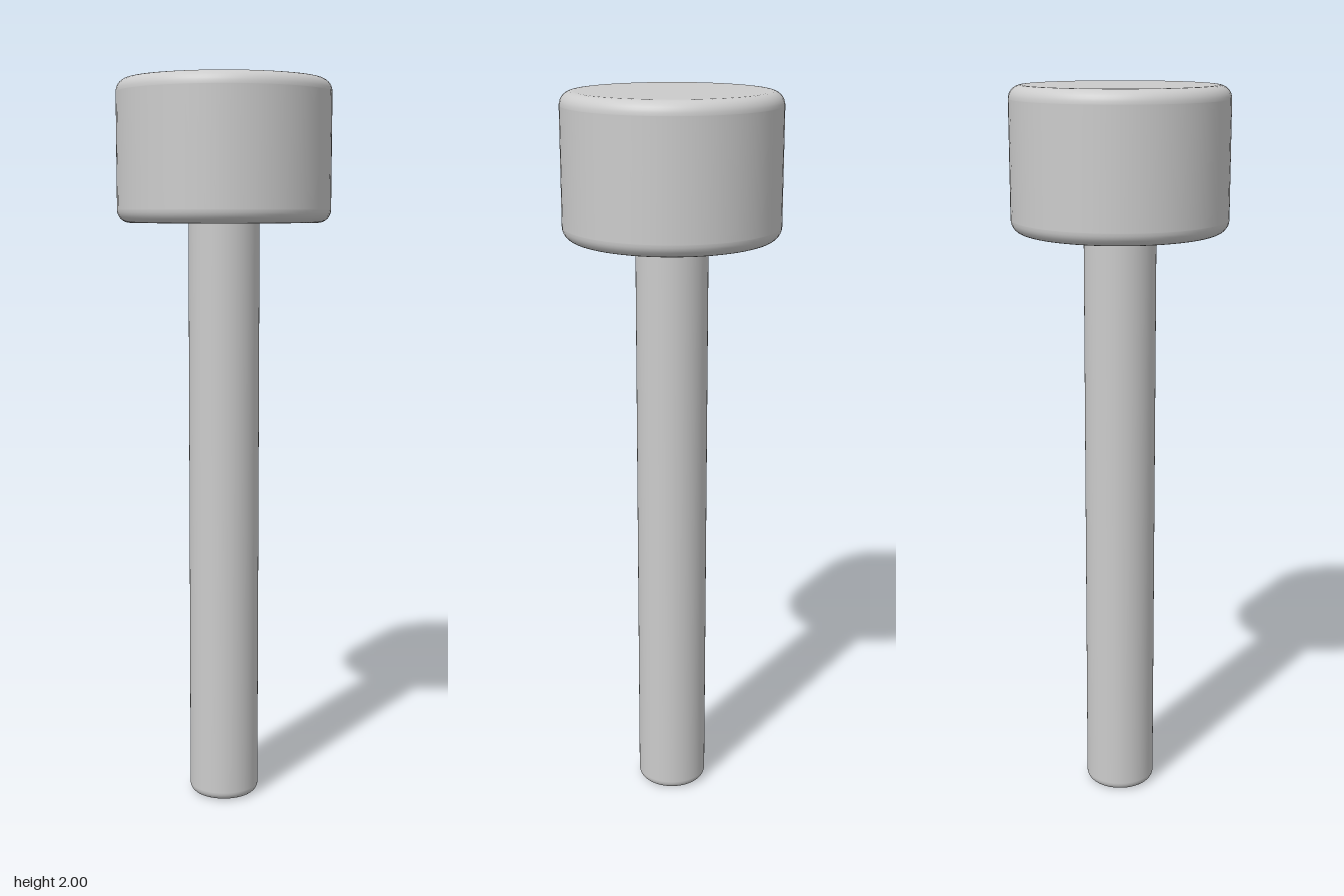
import * as THREE from 'three';

const material = new THREE.MeshStandardMaterial({ color: 0xcccccc });

// Solid round bar from y0 to y1; each end is a flat cap with a rounded rim.
function roundedCylinder(name, radius, y0, y1, bottomFillet, topFillet) {
  const steps = 8, eps = 0.001;
  const points = [new THREE.Vector2(0, y0), new THREE.Vector2(radius - bottomFillet - eps, y0)];
  const arc = (cy, fillet, start) => {
    for (let i = 0; i <= steps; i++) {
      const a = start + (i / steps) * Math.PI / 2;
      points.push(new THREE.Vector2(radius - fillet + fillet * Math.cos(a), cy + fillet * Math.sin(a)));
    }
  };
  arc(y0 + bottomFillet, bottomFillet, -Math.PI / 2);
  // extra rings keep the wall and caps shading flat up to the rims
  points.push(new THREE.Vector2(radius, y0 + bottomFillet + eps));
  points.push(new THREE.Vector2(radius, y1 - topFillet - eps));
  arc(y1 - topFillet, topFillet, 0);
  points.push(new THREE.Vector2(radius - topFillet - eps, y1), new THREE.Vector2(0, y1));

  const mesh = new THREE.Mesh(new THREE.LatheGeometry(points, 64), material);
  mesh.name = name;
  return mesh;
}

export function createModel() {
  const group = new THREE.Group();
  group.name = 'pin';
  // wide round head on a slim shaft that runs slightly into it
  group.add(roundedCylinder('head', 0.29, 1.62, 2, 0.035, 0.035));
  group.add(roundedCylinder('shaft', 0.097, 0, 1.66, 0.022, 0.022));
  return group;
}
